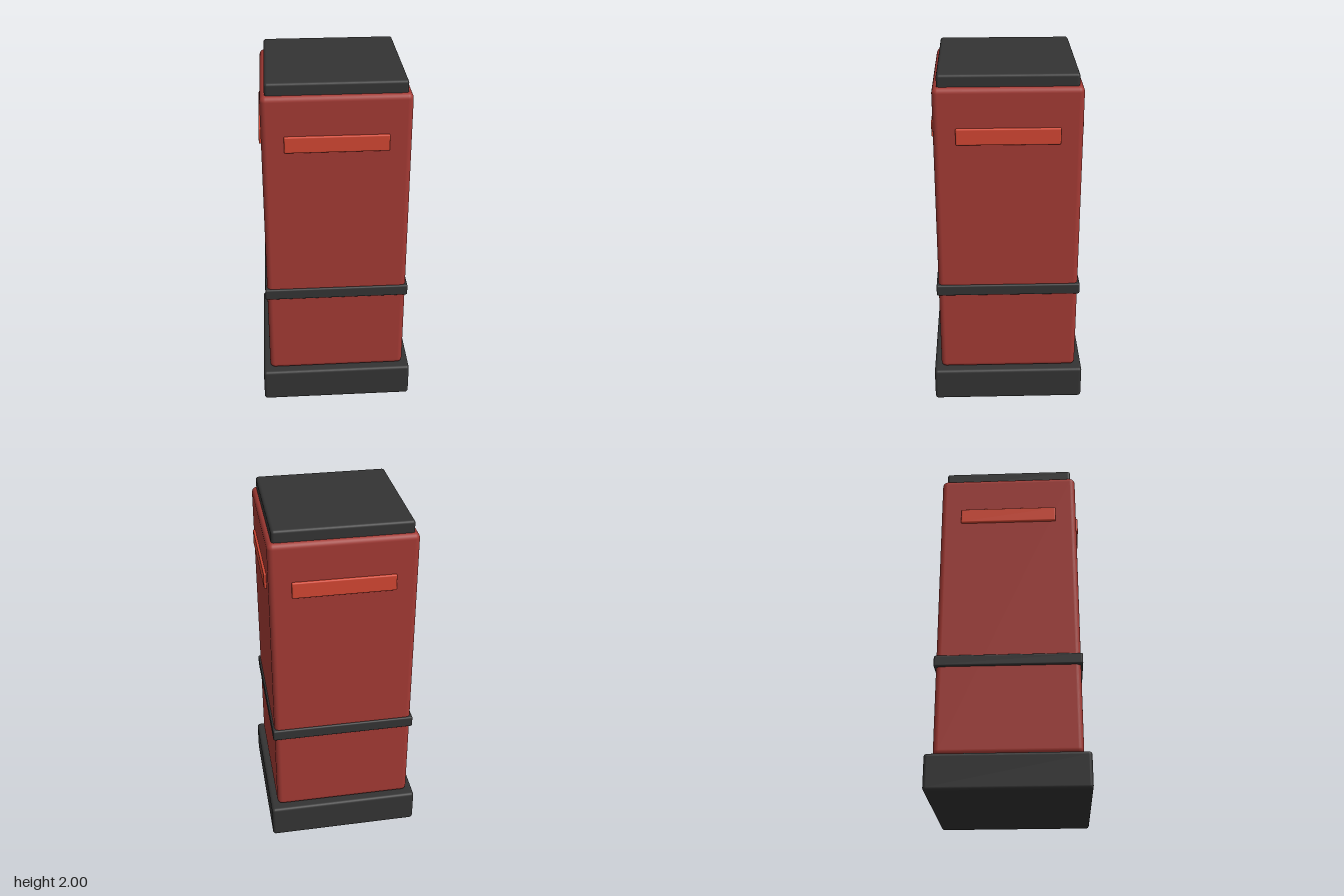
import * as THREE from 'three';
import { RoundedBoxGeometry } from 'three/addons/geometries/RoundedBoxGeometry.js';

function material(name, color) {
  const m = new THREE.MeshStandardMaterial({ color });
  m.name = name;
  return m;
}

export function createModel() {
  const group = new THREE.Group();
  group.name = 'pillar';

  const red = material('brick red', 0xa33a34);
  const brightRed = material('bright red', 0xd24632);
  const charcoal = material('charcoal', 0x333333);

  // Softly rounded block spanning y0 to y1
  function block(name, width, y0, y1, depth, radius, mat) {
    const geometry = new RoundedBoxGeometry(width, y1 - y0, depth, 4, radius);
    const mesh = new THREE.Mesh(geometry, mat);
    mesh.name = name;
    mesh.position.y = (y0 + y1) / 2;
    return mesh;
  }

  // Stacked square parts
  group.add(
    block('base', 0.876, 0, 0.2, 0.876, 0.018, charcoal),
    block('body', 0.796, 0.2, 1.935, 0.796, 0.03, red),
    block('band', 0.818, 0.704, 0.77, 0.818, 0.01, charcoal),
    block('lid', 0.746, 1.9, 2, 0.746, 0.016, charcoal),
  );

  // One raised slot plate on each of the four sides
  for (let i = 0; i < 4; i++) {
    const side = new THREE.Group();
    side.name = 'slotSide' + (i + 1);
    const plate = block('slotPlate', 0.558, 1.625, 1.717, 0.03, 0.008, brightRed);
    plate.position.z = 0.396;
    side.add(plate);
    side.rotation.y = (i * Math.PI) / 2;
    group.add(side);
  }

  return group;
}
